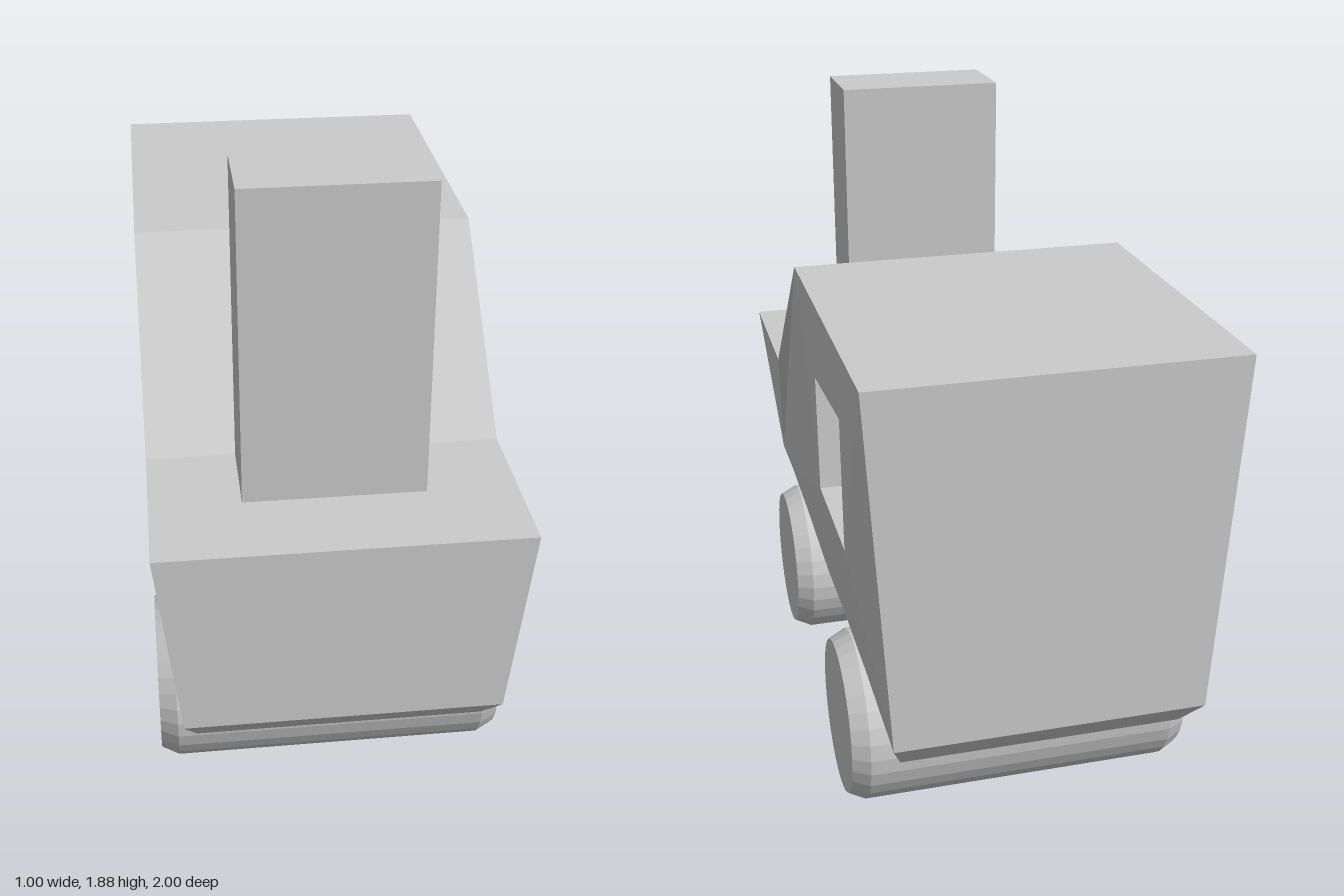
import * as THREE from 'three';

const material = new THREE.MeshStandardMaterial({ color: 0xcccccc, flatShading: true });

function add(group, name, geometry) {
  const mesh = new THREE.Mesh(geometry, material);
  mesh.name = name;
  group.add(mesh);
  return mesh;
}

// Flat faces from polygons, fanned from their first corner, counter-clockwise from outside
function faces(polygons) {
  const pos = [];
  for (const p of polygons) {
    for (let i = 1; i < p.length - 1; i++) pos.push(...p[0], ...p[i], ...p[i + 1]);
  }
  const g = new THREE.BufferGeometry();
  g.setAttribute('position', new THREE.Float32BufferAttribute(pos, 3));
  g.computeVertexNormals();
  return g;
}

// The same polygons on the other side of the model
const mirror = (polygons) => polygons.map(([hub, ...rest]) =>
  [hub, ...rest.reverse()].map(([x, y, z]) => [-x, y, z]));

const W = 0.5;        // half width at the top
const SILL = 0.435;   // half width at the lower edge
const ROOF = 1.475, HOOD = 1, EDGE = 0.455;

// Lower edge of the left side from front to back, rising over each wheel
const lowerEdge = [[SILL, EDGE, 1], [0.445, 0.505, 0.68], [0.445, 0.505, 0.35], [SILL, EDGE, 0],
  [0.445, 0.505, -0.35], [0.445, 0.505, -0.68], [SILL, EDGE, -1]];
const roofFront = [W, ROOF, 0], roofBack = [W, ROOF, -1];

// Window corners: top front, bottom front, bottom back, top back
const windowCorners = [[W, 1.25, -0.32], [W, 0.915, -0.335], [W, 0.915, -0.72], [W, 1.285, -0.705]];

// Plain side wall, and one fanned around the window opening
const plainWall = [[roofFront, ...lowerEdge, roofBack]];
const [w0, w1, w2, w3] = windowCorners;
const windowWall = [
  [w1, roofFront, ...lowerEdge.slice(0, 5), w2],
  [w2, ...lowerEdge.slice(4), roofBack, w3],
  [w3, roofBack, roofFront, w0],
  [w0, roofFront, w1],
];

// Triangles joining the side wall to the windscreen and the hood
const joint = [W, HOOD, 0.5];
const noseSide = [[roofFront, joint, lowerEdge[0]], [joint, [W, HOOD, 1], lowerEdge[0]]];

// Bevelled underside lofted from shrinking loops
function underside() {
  const ring = (side) => [...side, ...side.map(([x, y, z]) => [-x, y, z]).reverse()];
  const level = (y, x, length) => ring(lowerEdge.map((p) => [x, y, p[2] * length]));
  const loops = [ring(lowerEdge), level(0.355, 0.4, 0.91), level(0.305, 0.38, 0.81), level(0.25, 0.31, 0.6)];
  const polys = [];
  for (let k = 0; k < loops.length - 1; k++) {
    const up = loops[k], lo = loops[k + 1], n = up.length;
    for (let i = 0; i < n; i++) {
      const j = (i + 1) % n;
      polys.push([lo[i], lo[j], up[j], up[i]]);
    }
  }
  polys.push([...loops[3]].reverse());
  return faces(polys);
}

// Walls and end of the recess behind the window opening
function windowRecess(depth) {
  const inner = windowCorners.map(([x, y, z]) => [x - depth, y, z]);
  const walls = windowCorners.map((corner, i) => {
    const j = (i + 1) % 4;
    return [corner, windowCorners[j], inner[j], inner[i]];
  });
  return faces([...walls, inner]);
}

export function createModel() {
  const group = new THREE.Group();
  group.name = 'toyEngine';

  // Body panels
  const body = new THREE.Group();
  body.name = 'body';
  group.add(body);
  add(body, 'roof', faces([[[-W, ROOF, 0], [W, ROOF, 0], [W, ROOF, -1], [-W, ROOF, -1]]]));
  add(body, 'windscreen', faces([[[-W, HOOD, 0.5], [W, HOOD, 0.5], [W, ROOF, 0], [-W, ROOF, 0]]]));
  add(body, 'hood', faces([[[-W, HOOD, 1], [W, HOOD, 1], [W, HOOD, 0.5], [-W, HOOD, 0.5]]]));
  add(body, 'front', faces([[[-SILL, EDGE, 1], [SILL, EDGE, 1], [W, HOOD, 1], [-W, HOOD, 1]]]));
  add(body, 'back', faces([[[SILL, EDGE, -1], [-SILL, EDGE, -1], [-W, ROOF, -1], [W, ROOF, -1]]]));
  add(body, 'leftWall', faces(windowWall));
  add(body, 'rightWall', faces(mirror(plainWall)));
  add(body, 'leftNoseSide', faces(noseSide));
  add(body, 'rightNoseSide', faces(mirror(noseSide)));
  add(body, 'underside', underside());
  add(body, 'windowRecess', windowRecess(0.28));

  // Chimney standing on the hood
  add(group, 'chimney', new THREE.BoxGeometry(0.5, 0.885, 0.25)).position.set(0, HOOD + 0.4425, 0.625);

  // Full-width rollers with bevelled rims
  const profile = [[0, -0.5], [0.225, -0.5], [0.25, -0.45], [0.25, 0.45], [0.225, 0.5], [0, 0.5]]
    .map(([r, h]) => new THREE.Vector2(r, h));
  for (const [name, z] of [['frontWheels', 0.5], ['rearWheels', -0.5]]) {
    const wheel = add(group, name, new THREE.LatheGeometry(profile, 32));
    wheel.rotation.z = Math.PI / 2;
    wheel.position.set(0, 0.25, z);
  }
  return group;
}
